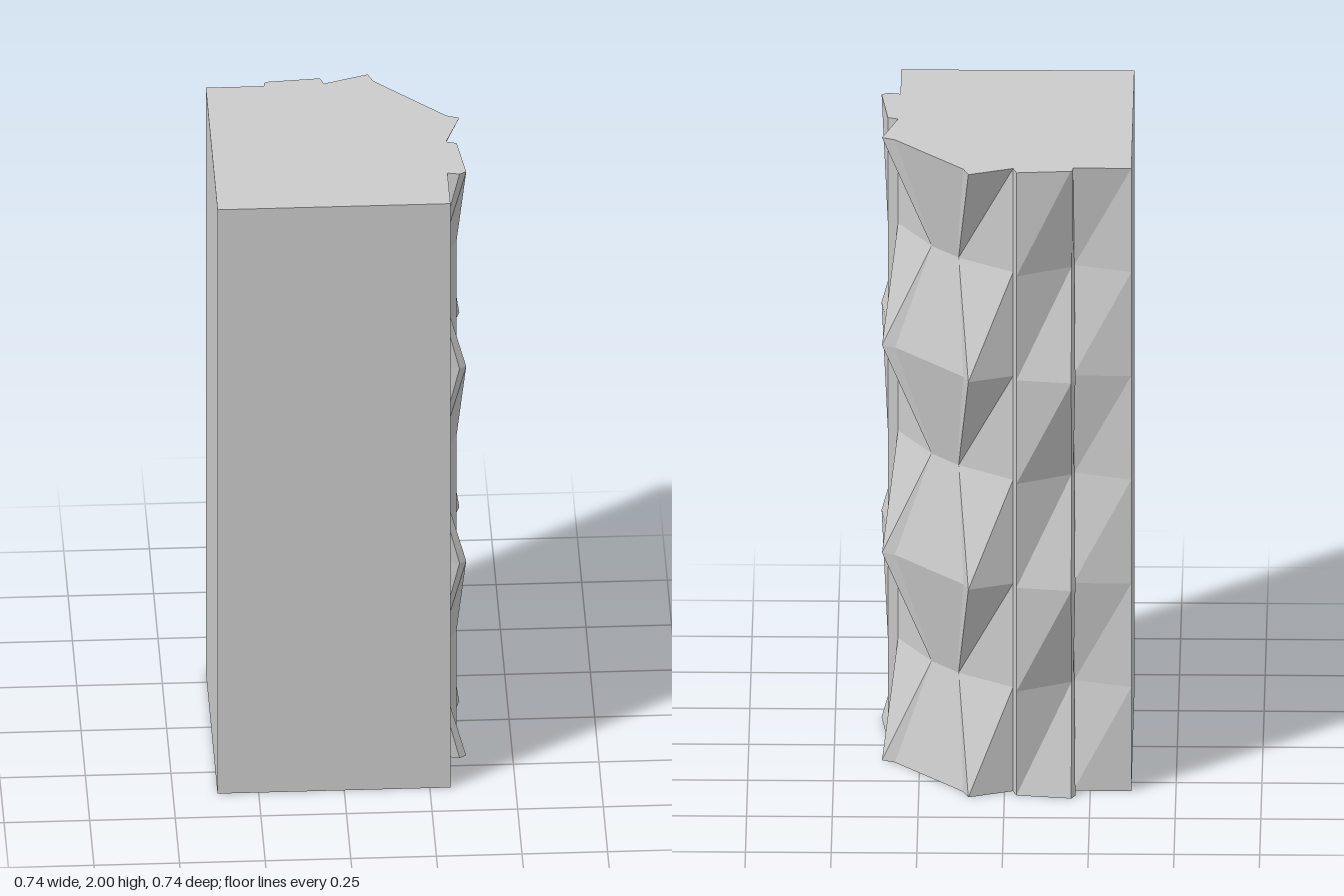
import * as THREE from 'three';

// Half of a cross-section as [x, z], from the front corner to the middle of the chamfer.
const RIDGE = [[0.31, 0.37], [0.31, 0.2], [0.345, 0.207], [0.365, 0.195],
  [0.345, 0.035], [0.315, 0.025], [0.36, -0.105], [0.322, -0.12]];
const VALLEY = [[0.31, 0.37], [0.262, 0.203], [0.266, 0.2], [0.275, 0.195],
  [0.345, 0.035], [0.315, 0.025], [0.215, -0.135], [0.21, -0.14]];
const LEVELS = 6;
const HEIGHT = 2;

// Full outline: the half, its mirror across the diagonal, then the flat corner.
function outline(level) {
  const half = level % 2 ? VALLEY : RIDGE;
  const mirrored = half.map(([x, z]) => [-z, -x]).reverse();
  if (level === LEVELS) { // the rear fin is shallower at the top
    mirrored[4] = [-0.193, -0.333];
    mirrored[5] = [-0.2, -0.325];
  }
  return [...half, ...mirrored, [-0.37, 0.37]];
}

// Faceted walls joining consecutive cross-sections.
function wallGeometry() {
  const positions = [];
  const n = outline(0).length;
  const halfCount = RIDGE.length;
  for (let k = 0; k < LEVELS; k++) {
    const low = outline(k).map(([x, z]) => [x, k * HEIGHT / LEVELS, z]);
    const high = outline(k + 1).map(([x, z]) => [x, (k + 1) * HEIGHT / LEVELS, z]);
    for (let i = 0; i < n; i++) {
      const j = (i + 1) % n;
      const faces = i < halfCount
        ? [low[i], low[j], high[i], low[j], high[j], high[i]]
        : [low[i], low[j], high[j], low[i], high[j], high[i]];
      faces.forEach((p) => positions.push(...p));
    }
  }
  const geometry = new THREE.BufferGeometry();
  geometry.setAttribute('position', new THREE.Float32BufferAttribute(positions, 3));
  geometry.computeVertexNormals();
  return geometry;
}

// Flat end face, facing up (sign 1) or down (sign -1).
function capGeometry(level, sign) {
  const points = outline(level).map(([x, z]) => new THREE.Vector2(x, -sign * z));
  return new THREE.ShapeGeometry(new THREE.Shape(points))
    .rotateX(-sign * Math.PI / 2)
    .translate(0, level * HEIGHT / LEVELS, 0);
}

export function createModel() {
  const group = new THREE.Group();
  group.name = 'carvedPillar';
  const material = new THREE.MeshStandardMaterial({ color: 0xcccccc, flatShading: true });
  const add = (name, geometry) => {
    const mesh = new THREE.Mesh(geometry, material);
    mesh.name = name;
    group.add(mesh);
  };
  add('pillarWalls', wallGeometry());
  add('topFace', capGeometry(LEVELS, 1));
  add('bottomFace', capGeometry(0, -1));
  return group;
}
